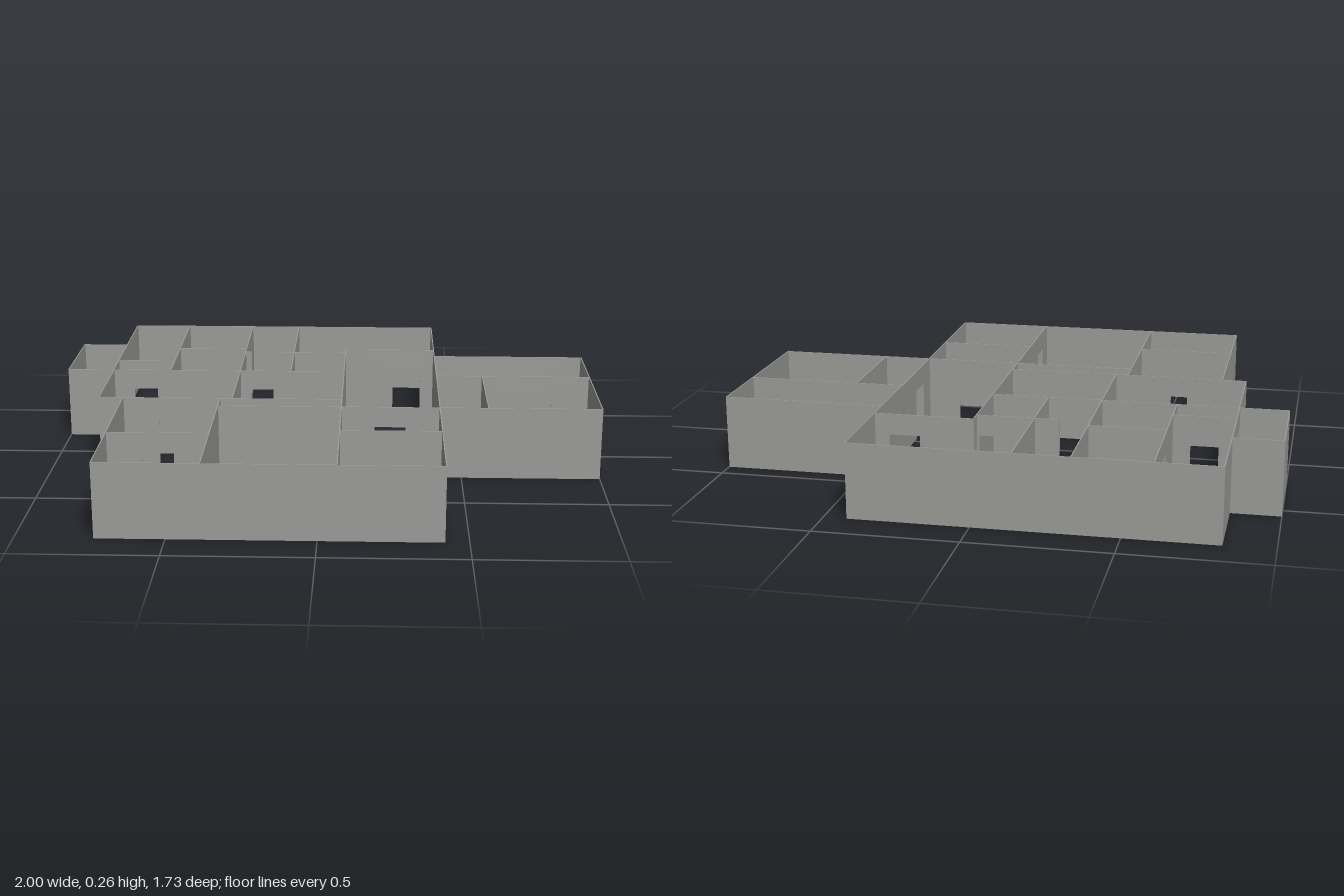
import * as THREE from 'three';

const H = 0.265;       // wall height
const DOOR_H = 0.19;   // door head height
const DOOR_W = 0.11;   // door width
const T = 0.004;       // wall thickness

// Wall outline with doorways notched out of its lower edge
function wallGeometry(start, end, doors) {
  const s = new THREE.Shape();
  s.moveTo(start, 0);
  for (const d of [...doors].sort((a, b) => a - b)) {
    s.lineTo(d - DOOR_W / 2, 0);
    s.lineTo(d - DOOR_W / 2, DOOR_H);
    s.lineTo(d + DOOR_W / 2, DOOR_H);
    s.lineTo(d + DOOR_W / 2, 0);
  }
  s.lineTo(end, 0);
  s.lineTo(end, H);
  s.lineTo(start, H);
  s.closePath();
  const g = new THREE.ExtrudeGeometry(s, { depth: T, bevelEnabled: false });
  g.translate(0, 0, -T / 2);
  return g;
}

// Walls running along x: [z, x start, x end, door centres]
const crossWalls = [
  [-0.863, -0.825, 0.418, []],
  [-0.557, -0.998, -0.825, []],
  [-0.513, -0.603, -0.335, [-0.47]],
  [-0.515, 0.065, 0.418, [0.31]],
  [-0.467, -0.335, -0.31, []],
  [-0.467, -0.225, 0.065, [0.0]],
  [-0.427, 0.418, 0.998, []],
  [-0.332, -0.825, -0.603, [-0.71]],
  [-0.2, -0.998, 0.065, [-0.71, -0.237]],
  [-0.155, 0.418, 0.998, [0.8]],
  [0.155, -0.823, 0.065, [-0.55]],
  [0.243, -0.38, 0.998, [0.24]],
  [0.508, 0.065, 0.418, []],
  [0.553, -0.735, -0.38, [-0.557]],
  [0.86, -0.735, 0.418, []],
];

// Walls running along z: [x, z start, z end, door centres]
const longWalls = [
  [-0.998, -0.557, -0.2, []],
  [-0.825, -0.863, -0.2, [-0.27]],
  [-0.823, -0.2, 0.155, []],
  [-0.735, 0.155, 0.86, []],
  [-0.603, -0.863, -0.2, [-0.6]],
  [-0.38, 0.155, 0.86, [0.7]],
  [-0.335, -0.863, 0.155, [-0.69]],
  [-0.14, -0.863, -0.2, [-0.66]],
  [0.065, -0.515, 0.86, [0.01, 0.38, 0.71]],
  [0.418, -0.863, 0.86, [0.09]],
  [0.592, -0.155, 0.243, [0.045]],
  [0.998, -0.427, 0.243, []],
];

export function createModel() {
  const model = new THREE.Group();
  model.name = 'floorPlan';
  const plaster = new THREE.MeshStandardMaterial({ color: 0x9c9c99 });
  plaster.name = 'grey plaster';
  plaster.side = THREE.DoubleSide;

  crossWalls.forEach(([z, a, b, doors], i) => {
    const wall = new THREE.Mesh(wallGeometry(a, b, doors), plaster);
    wall.name = `crossWall${i + 1}`;
    wall.position.z = z;
    model.add(wall);
  });

  longWalls.forEach(([x, a, b, doors], i) => {
    const wall = new THREE.Mesh(wallGeometry(a, b, doors), plaster);
    wall.name = `longWall${i + 1}`;
    wall.rotation.y = -Math.PI / 2;
    wall.position.x = x;
    model.add(wall);
  });

  return model;
}
